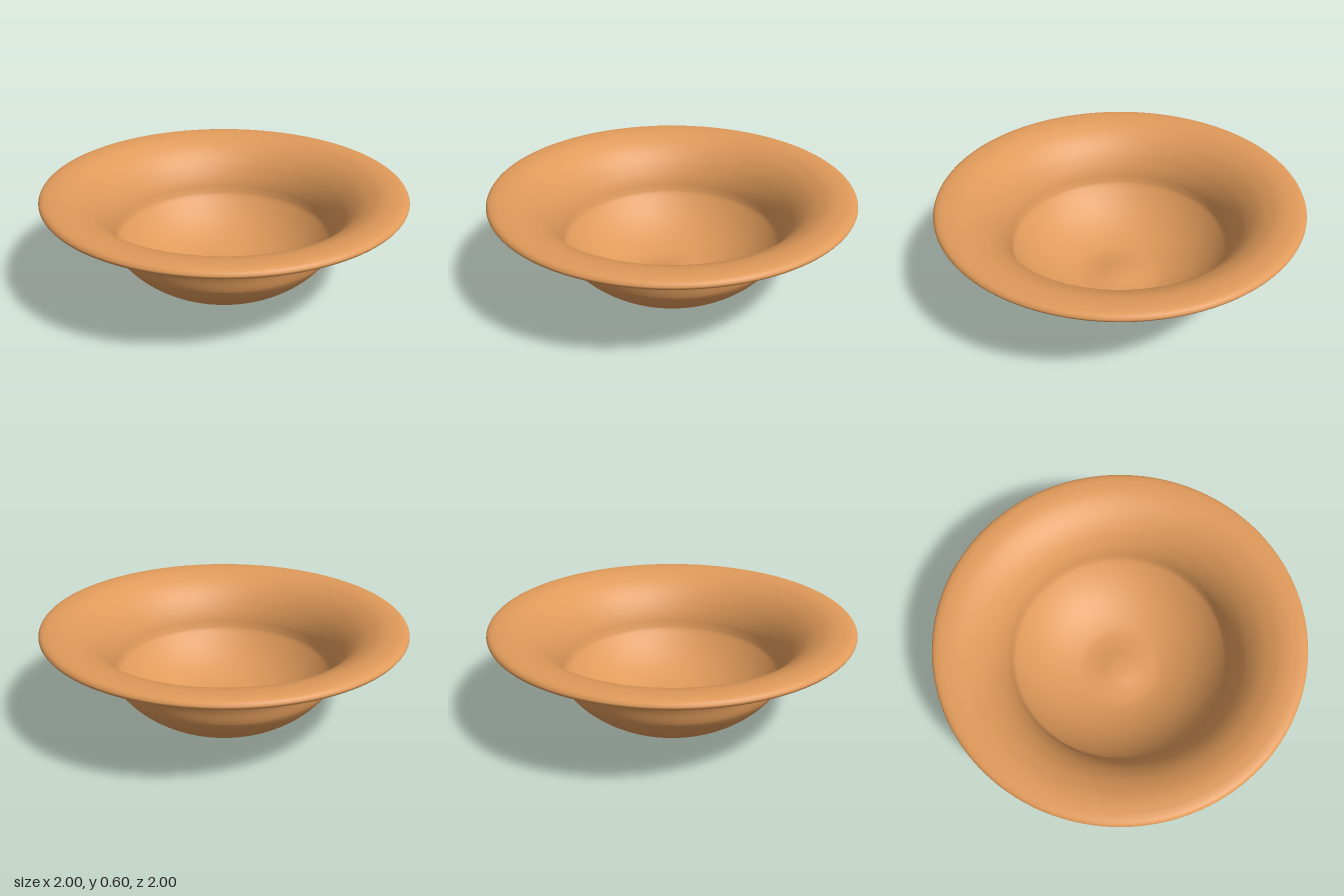
import * as THREE from 'three';

const spline = (pts, n) =>
  new THREE.SplineCurve(pts.map(([x, y]) => new THREE.Vector2(x, y))).getPoints(n);

export function createModel() {
  const group = new THREE.Group();
  group.name = 'bowl';

  // Outside: dimpled base, rounded belly, waist, flared underside of the rim
  const outside = [
    [0, 0.02], [0.06, 0.017], [0.13, 0.006], [0.2, 0.002], [0.27, 0.01], [0.36, 0.04],
    [0.46, 0.095], [0.55, 0.17], [0.615, 0.25], [0.634, 0.29], [0.648, 0.345], [0.67, 0.395],
    [0.71, 0.455], [0.77, 0.515], [0.84, 0.555], [0.9, 0.573], [0.95, 0.576], [0.975, 0.568],
  ];
  // Lip: small drooping edge rolled over to the top
  const lip = [
    [0.975, 0.568], [0.982, 0.557], [0.99, 0.556], [0.998, 0.565], [1, 0.575],
    [0.99, 0.589], [0.97, 0.597], [0.945, 0.6],
  ];
  // Inside: the same wall, one thickness inwards, back to the centre
  const inside = [
    [0.945, 0.6], [0.89, 0.597], [0.83, 0.58], [0.755, 0.537], [0.69, 0.472], [0.648, 0.405],
    [0.625, 0.35], [0.612, 0.3], [0.595, 0.262], [0.53, 0.187], [0.445, 0.117], [0.35, 0.064],
    [0.26, 0.033], [0.2, 0.026], [0.13, 0.03], [0.06, 0.041], [0, 0.044],
  ];
  const profile = [
    ...spline(outside, 70),
    ...spline(lip, 28).slice(1),
    ...spline(inside, 70).slice(1),
  ];
  profile.forEach((p) => p.set(Math.max(p.x, 0), Math.max(p.y, 0)));

  const bowl = new THREE.Mesh(
    new THREE.LatheGeometry(profile, 128),
    new THREE.MeshStandardMaterial({ color: 0xe09a5a })
  );
  bowl.name = 'bowlBody';
  group.add(bowl);
  return group;
}
